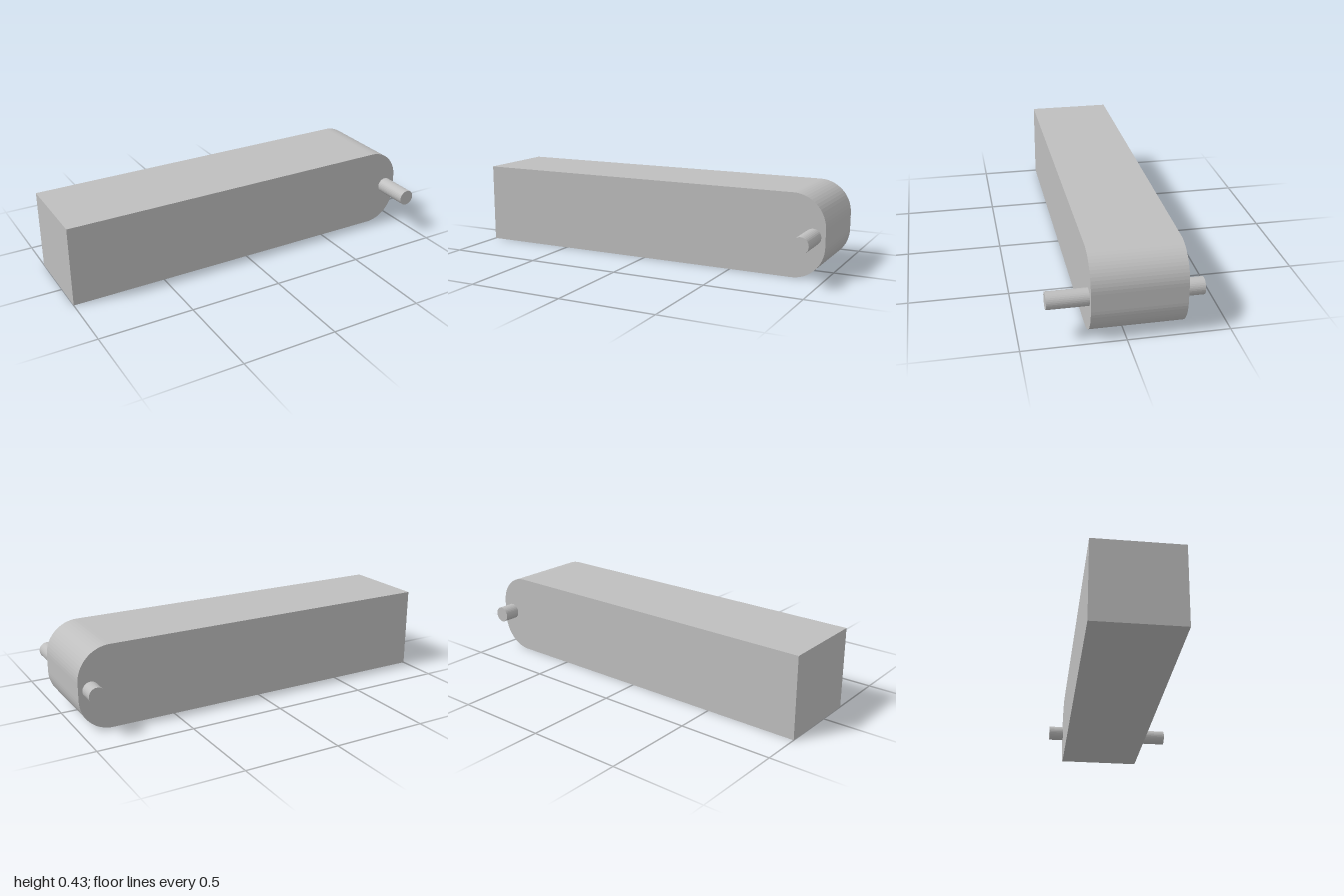
import * as THREE from 'three';

const HEIGHT = 0.43, RADIUS = 0.17, BACK = -0.286, FRONT = 0.172;

export function createModel() {
  const model = new THREE.Group();
  const grey = new THREE.MeshStandardMaterial({ color: 0xbebebe, flatShading: true });
  grey.name = 'grey';

  // Arm: long bar with its two right-hand edges rounded
  const profile = new THREE.Shape();
  profile.moveTo(-1, 0);
  profile.lineTo(1 - RADIUS, 0);
  profile.absarc(1 - RADIUS, RADIUS, RADIUS, -Math.PI / 2, 0, false);
  profile.lineTo(1, HEIGHT - RADIUS);
  profile.absarc(1 - RADIUS, HEIGHT - RADIUS, RADIUS, 0, Math.PI / 2, false);
  profile.lineTo(-1, HEIGHT);
  profile.closePath();
  const armGeometry = new THREE.ExtrudeGeometry(profile, {
    depth: FRONT - BACK, bevelEnabled: false, curveSegments: 8,
  });
  armGeometry.translate(0, 0, BACK);
  const arm = new THREE.Mesh(armGeometry, grey);
  arm.name = 'arm';

  // Pivot pin: passes through the rounded end, longer at the front
  const pinGeometry = new THREE.CylinderGeometry(0.0425, 0.0425, 0.745, 32);
  pinGeometry.rotateX(Math.PI / 2);
  const pin = new THREE.Mesh(pinGeometry, grey);
  pin.position.set(0.936, 0.216, 0);
  pin.name = 'pivotPin';

  model.add(arm, pin);
  return model;
}
